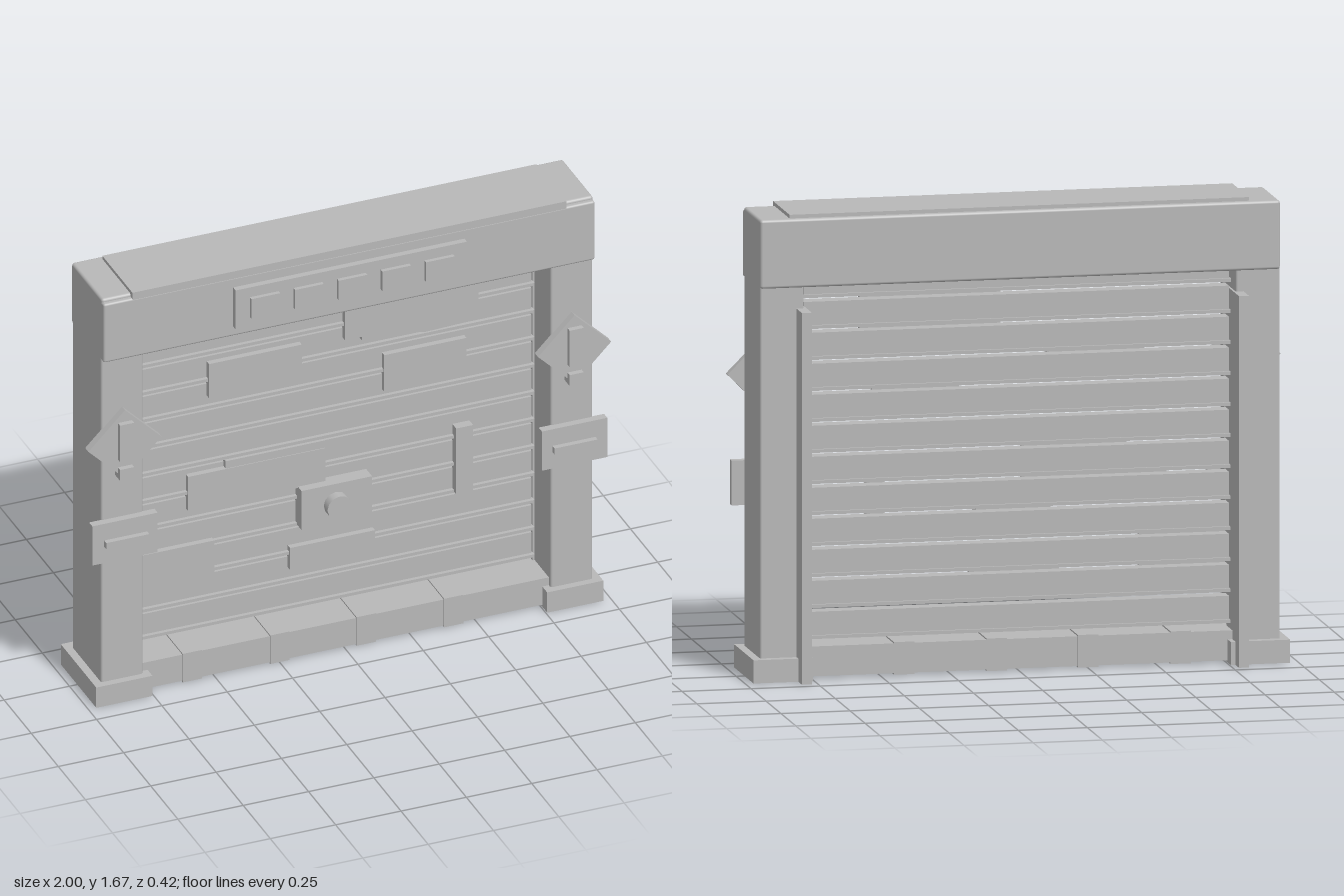
import * as THREE from 'three';
import { RoundedBoxGeometry } from 'three/addons/geometries/RoundedBoxGeometry.js';

export function createModel() {
  const model = new THREE.Group();
  model.name = 'rollerShutterGate';
  const grey = new THREE.MeshStandardMaterial({ color: 0xb8b8b8 });
  grey.name = 'plain grey';

  const add = (name, geometry) => {
    const mesh = new THREE.Mesh(geometry, grey);
    mesh.name = name;
    model.add(mesh);
    return mesh;
  };
  // Box given by its limits; a radius rounds the edges
  const box = (name, x0, x1, y0, y1, z0, z1, radius = 0) => {
    const size = [x1 - x0, y1 - y0, z1 - z0];
    const mesh = add(name, radius ? new RoundedBoxGeometry(...size, 2, radius) : new THREE.BoxGeometry(...size));
    mesh.position.set((x0 + x1) / 2, (y0 + y1) / 2, (z0 + z1) / 2);
    return mesh;
  };
  // Same box on both sides
  const pair = (name, x0, x1, ...rest) => {
    box(name + 'Left', x0, x1, ...rest);
    box(name + 'Right', -x1, -x0, ...rest);
  };

  // Frame: posts, plinths, rear guide rails
  pair('post', 0.78, 0.94, 0.04, 1.45, -0.12, 0.148, 0.008);
  pair('plinth', 0.755, 0.97, 0, 0.083, -0.152, 0.175);
  pair('guideRail', 0.772, 0.808, 0, 1.335, -0.212, 0);

  // Header housing with top cap
  box('header', -0.94, 0.94, 1.41, 1.657, -0.127, 0.155, 0.01);
  box('headerFront', -0.94, 0.94, 1.405, 1.645, 0.1, 0.172, 0.008);
  box('headerCap', -0.83, 0.83, 1.64, 1.67, -0.107, 0.172);

  // Control strip with five buttons
  box('controlStrip', -0.445, 0.44, 1.445, 1.605, 0.165, 0.195);
  for (let i = 0; i < 5; i++) {
    const x = -0.336 + i * 0.167;
    box('button' + (i + 1), x - 0.055, x + 0.055, 1.485, 1.565, 0.19, 0.21);
  }

  // Shutter slats, each with a projecting lower lip
  for (let i = 0; i < 12; i++) {
    const y = 0.136 + i * 0.1114;
    box('slat' + (i + 1), -0.768, 0.768, y + 0.004, y + 0.096, -0.06, 0);
    box('slatLip' + (i + 1), -0.774, 0.774, y, y + 0.012, -0.07, 0.014);
  }

  // Threshold with overlapping seams
  box('threshold', -0.78, 0.78, 0.008, 0.115, -0.1, 0.13);
  for (const x of [-0.585, -0.25, 0.08, 0.415]) {
    box('thresholdSeam', x - 0.037, x + 0.037, 0.003, 0.12, -0.104, 0.134);
  }

  // Repair patches on the slats: x0, x1, y0, y1
  const patches = [
    [-0.475, -0.12, 1.075, 1.215],
    [0.195, 0.51, 0.95, 1.1],
    [-0.555, -0.03, 0.63, 0.77],
    [-0.765, -0.455, 0.335, 0.487],
    [-0.165, 0.16, 0.3, 0.39],
  ];
  patches.forEach((p, i) => box('patch' + (i + 1), ...p, -0.005, 0.022));
  box('patchOverlap', -0.41, -0.03, 0.7, 0.8, -0.005, 0.019);

  // Large patch with a ragged lower edge
  const ragged = new THREE.Shape([
    [0.045, 1.36], [0.045, 1.195], [0.11, 1.195], [0.11, 1.18], [0.32, 1.168],
    [0.35, 1.16], [0.51, 1.165], [0.555, 1.175], [0.555, 1.36],
  ].map(([x, y]) => new THREE.Vector2(x, y)));
  add('raggedPatch', new THREE.ExtrudeGeometry(ragged, { depth: 0.027, bevelEnabled: false })).position.z = -0.005;

  // Lock box with round knob, and upright handle
  box('lockBox', -0.135, 0.135, 0.475, 0.635, -0.005, 0.055);
  const knob = add('lockKnob', new THREE.CylinderGeometry(0.047, 0.047, 0.04, 12));
  knob.rotation.x = Math.PI / 2;
  knob.position.set(-0.003, 0.555, 0.07);
  box('handle', 0.465, 0.53, 0.475, 0.745, -0.005, 0.035);

  // Warning diamonds and plates on the posts
  for (const side of [-1, 1]) {
    const diamond = add('warningDiamond', new THREE.BoxGeometry(0.198, 0.198, 0.03));
    diamond.rotation.z = Math.PI / 4;
    diamond.position.set(side * 0.86, 1.057, 0.16);
  }
  pair('warningBar', 0.833, 0.887, 1.0, 1.15, 0.17, 0.195);
  pair('warningDot', 0.833, 0.887, 0.923, 0.968, 0.145, 0.195);
  pair('postPlate', 0.735, 0.985, 0.587, 0.748, 0.145, 0.175);
  pair('plateSlot', 0.775, 0.94, 0.655, 0.68, 0.17, 0.195);

  return model;
}
